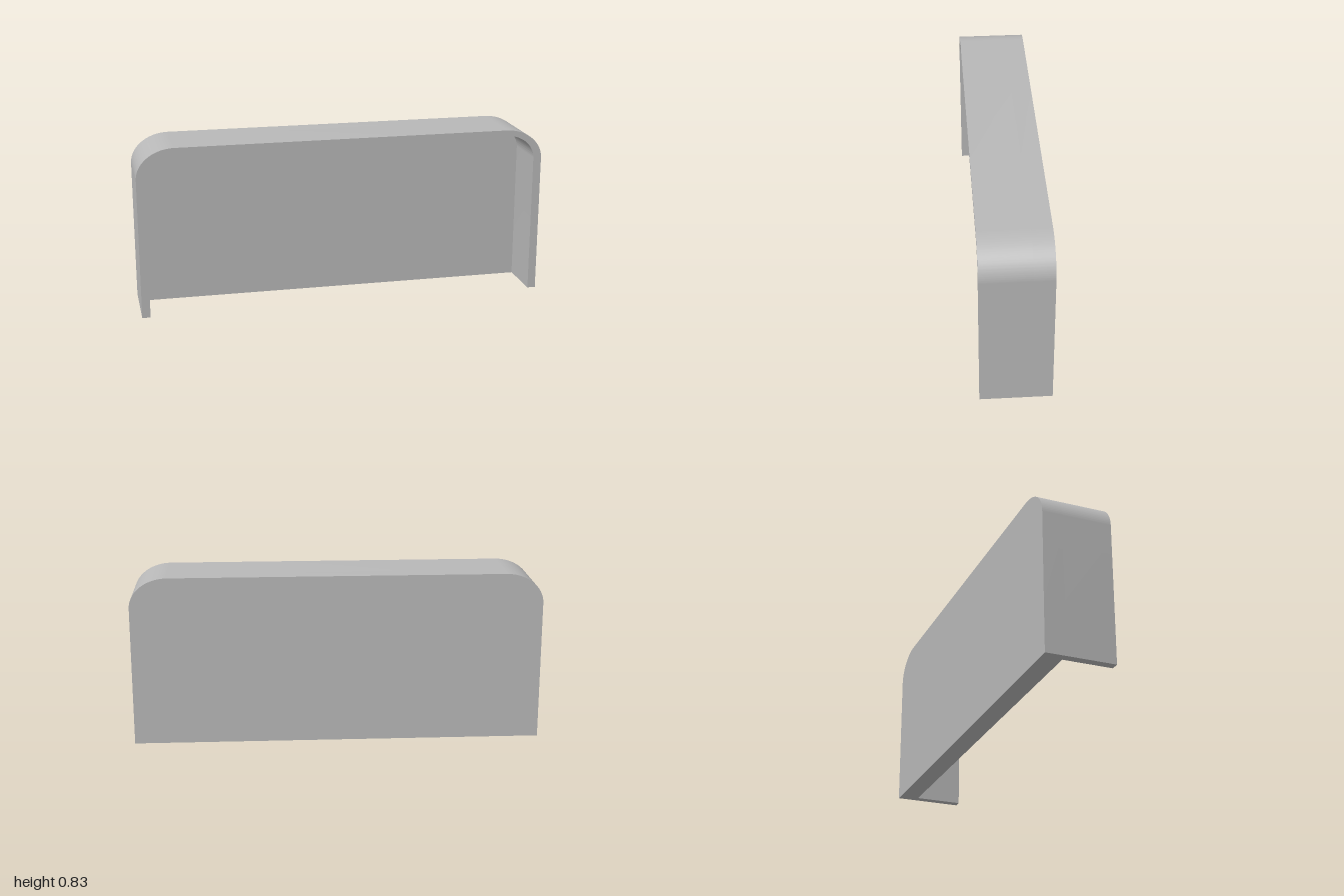
import * as THREE from 'three';
import { toCreasedNormals } from 'three/addons/utils/BufferGeometryUtils.js';

const HALF_DEPTH = 0.167;
const BACK_THICKNESS = 0.097;
const CORNER = { x: 0.815, y: 0.685 }; // shared centre of the outer and inner corner arcs

// Traces an arch from bottom right over the top to bottom left
function traceArch(shape, halfWidth, height) {
  const rx = halfWidth - CORNER.x;
  const ry = height - CORNER.y;
  shape.lineTo(halfWidth, CORNER.y);
  shape.absellipse(CORNER.x, CORNER.y, rx, ry, 0, Math.PI / 2, false, 0);
  shape.lineTo(-CORNER.x, height);
  shape.absellipse(-CORNER.x, CORNER.y, rx, ry, Math.PI / 2, Math.PI, false, 0);
  shape.lineTo(-halfWidth, 0);
}

function archPoints(halfWidth, height) {
  const shape = new THREE.Shape();
  shape.moveTo(halfWidth, 0);
  traceArch(shape, halfWidth, height);
  return shape.getPoints(24);
}

function extrudePart(name, points, z0, z1, material) {
  const geometry = new THREE.ExtrudeGeometry(new THREE.Shape(points), {
    depth: z1 - z0,
    bevelEnabled: false,
  });
  geometry.translate(0, 0, z0);
  const mesh = new THREE.Mesh(toCreasedNormals(geometry, Math.PI / 6), material);
  mesh.name = name;
  return mesh;
}

export function createModel() {
  const group = new THREE.Group();
  group.name = 'archedCover';
  const grey = new THREE.MeshStandardMaterial({ color: 0xb8b8b8 });
  grey.name = 'grey';

  const outer = archPoints(1, 0.833);
  const inner = archPoints(0.96, 0.805);
  const seam = -HALF_DEPTH + BACK_THICKNESS;

  // Solid back wall
  group.add(extrudePart('backPanel', outer, -HALF_DEPTH, seam, grey));
  // Thin rim around the sides and top, open at the front and bottom
  group.add(extrudePart('rim', [...outer, ...inner.reverse()], seam, HALF_DEPTH, grey));

  return group;
}
